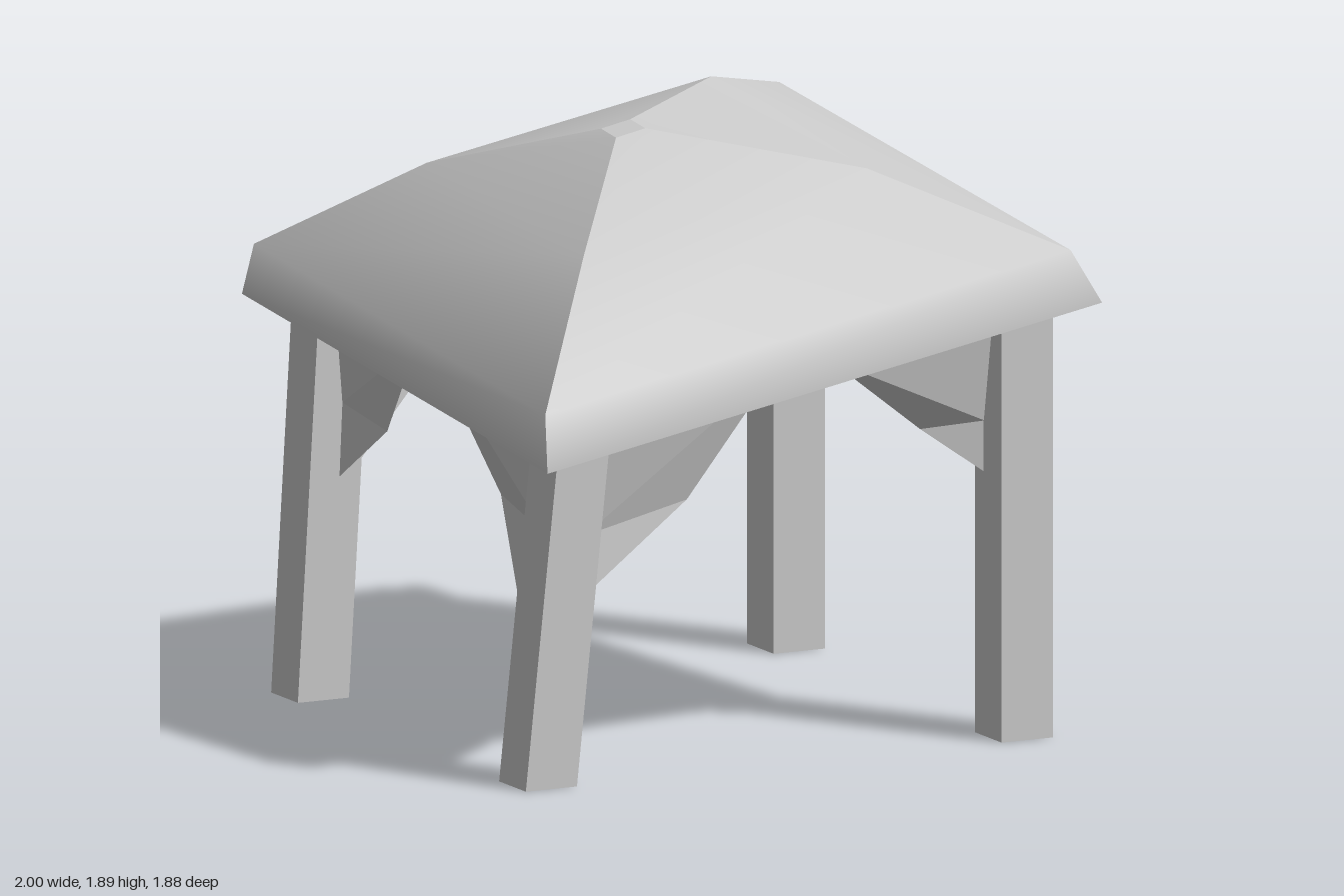
import * as THREE from 'three';

const material = () => new THREE.MeshStandardMaterial({ color: 0xcccccc, side: THREE.DoubleSide });

function surface(name, points, index, mat) {
  const g = new THREE.BufferGeometry();
  g.setAttribute('position', new THREE.Float32BufferAttribute(points.flat(), 3));
  g.setIndex(index);
  g.computeVertexNormals();
  const mesh = new THREE.Mesh(g, mat);
  mesh.name = name;
  return mesh;
}

// Sagging roof shell: four smooth panels between rings, with sharp hips and a small cap
function makeRoof() {
  const roof = new THREE.Group();
  roof.name = 'roof';
  const mat = material();
  // each ring: front -x, front +x, back +x, back -x
  const rings = [
    [[-0.91, 1.0, 0.94], [1.0, 1.35, 0.92], [0.91, 1.58, -0.94], [-1.0, 1.23, -0.92]],
    [[-0.91, 1.18, 0.925], [0.9, 1.52, 0.905], [0.81, 1.73, -0.86], [-1.0, 1.4, -0.84]],
    [[-0.59, 1.58, 0.56], [0.38, 1.76, 0.56], [0.33, 1.88, -0.38], [-0.64, 1.7, -0.39]],
    [[-0.31, 1.86, 0.23], [-0.21, 1.88, 0.23], [-0.21, 1.89, 0.13], [-0.31, 1.87, 0.13]],
  ];
  ['front', 'left', 'back', 'right'].forEach((side, i) => {
    const points = rings.flatMap((r) => [r[i], r[(i + 1) % 4]]);
    const index = [];
    for (let k = 0; k < 6; k += 2) index.push(k, k + 1, k + 3, k, k + 3, k + 2);
    roof.add(surface(side + 'RoofPanel', points, index, mat));
  });
  roof.add(surface('roofCap', rings[3], [0, 1, 2, 0, 2, 3], mat));
  return roof;
}

// Square post whose top is shifted sideways by lean
function makePost(name, x, z, height, lean) {
  const g = new THREE.BoxGeometry(0.175, height, 0.178);
  g.translate(0, height / 2, 0);
  const p = g.attributes.position;
  for (let i = 0; i < p.count; i++) p.setX(i, p.getX(i) + (lean * p.getY(i)) / height);
  g.computeVertexNormals();
  const mesh = new THREE.Mesh(g, material());
  mesh.name = name;
  mesh.position.set(x, 0, z);
  return mesh;
}

// Thin folded brace sheet: foot and fold on the post, free middle corner, tip and top under the roof
function makeBrace(name, foot, fold, mid, tip, top) {
  const mat = material();
  mat.flatShading = true;
  return surface(name, [foot, fold, mid, tip, top], [0, 2, 1, 1, 2, 3, 1, 3, 4], mat);
}

export function createModel() {
  const model = new THREE.Group();
  model.name = 'shelter';
  model.add(makeRoof());

  // Posts: the right pair leans inward
  model.add(
    makePost('frontLeftPost', 0.775, 0.77, 1.44, 0),
    makePost('backLeftPost', 0.775, -0.748, 1.6, 0),
    makePost('frontRightPost', -0.855, 0.77, 1.13, 0.12),
    makePost('backRightPost', -0.855, -0.748, 1.36, 0.08),
  );

  // Two braces on each post, one along each wall
  const braces = {
    frontRightSideBrace: [[-0.83, 0.31, 0.68], [-0.78, 0.75, 0.68], [-0.73, 0.8, 0.28], [-0.86, 1.22, 0.08], [-0.8, 1.13, 0.68]],
    frontRightFrontBrace: [[-0.7, 0.56, 0.76], [-0.68, 0.75, 0.74], [-0.33, 0.83, 0.74], [-0.07, 1.23, 0.83], [-0.65, 1.13, 0.81]],
    backRightSideBrace: [[-0.8, 0.69, -0.66], [-0.79, 0.92, -0.66], [-0.78, 0.88, -0.38], [-0.86, 1.23, -0.02], [-0.82, 1.3, -0.66]],
    backRightBackBrace: [[-0.72, 0.67, -0.75], [-0.71, 0.95, -0.75], [-0.43, 0.98, -0.79], [-0.17, 1.47, -0.82], [-0.69, 1.36, -0.8]],
    frontLeftSideBrace: [[0.79, 0.85, 0.68], [0.79, 1.05, 0.68], [0.82, 1.11, 0.22], [0.82, 1.46, 0.08], [0.8, 1.42, 0.68]],
    frontLeftFrontBrace: [[0.69, 0.82, 0.74], [0.69, 0.98, 0.74], [0.5, 0.96, 0.68], [0.13, 1.23, 0.8], [0.69, 1.37, 0.81]],
    backLeftSideBrace: [[0.82, 1.0, -0.66], [0.8, 1.17, -0.66], [0.75, 1.18, -0.26], [0.82, 1.49, -0.08], [0.77, 1.56, -0.66]],
    backLeftBackBrace: [[0.69, 1.1, -0.76], [0.69, 1.27, -0.76], [0.43, 1.28, -0.74], [0.12, 1.51, -0.82], [0.69, 1.6, -0.82]],
  };
  for (const [name, points] of Object.entries(braces)) model.add(makeBrace(name, ...points));
  return model;
}
